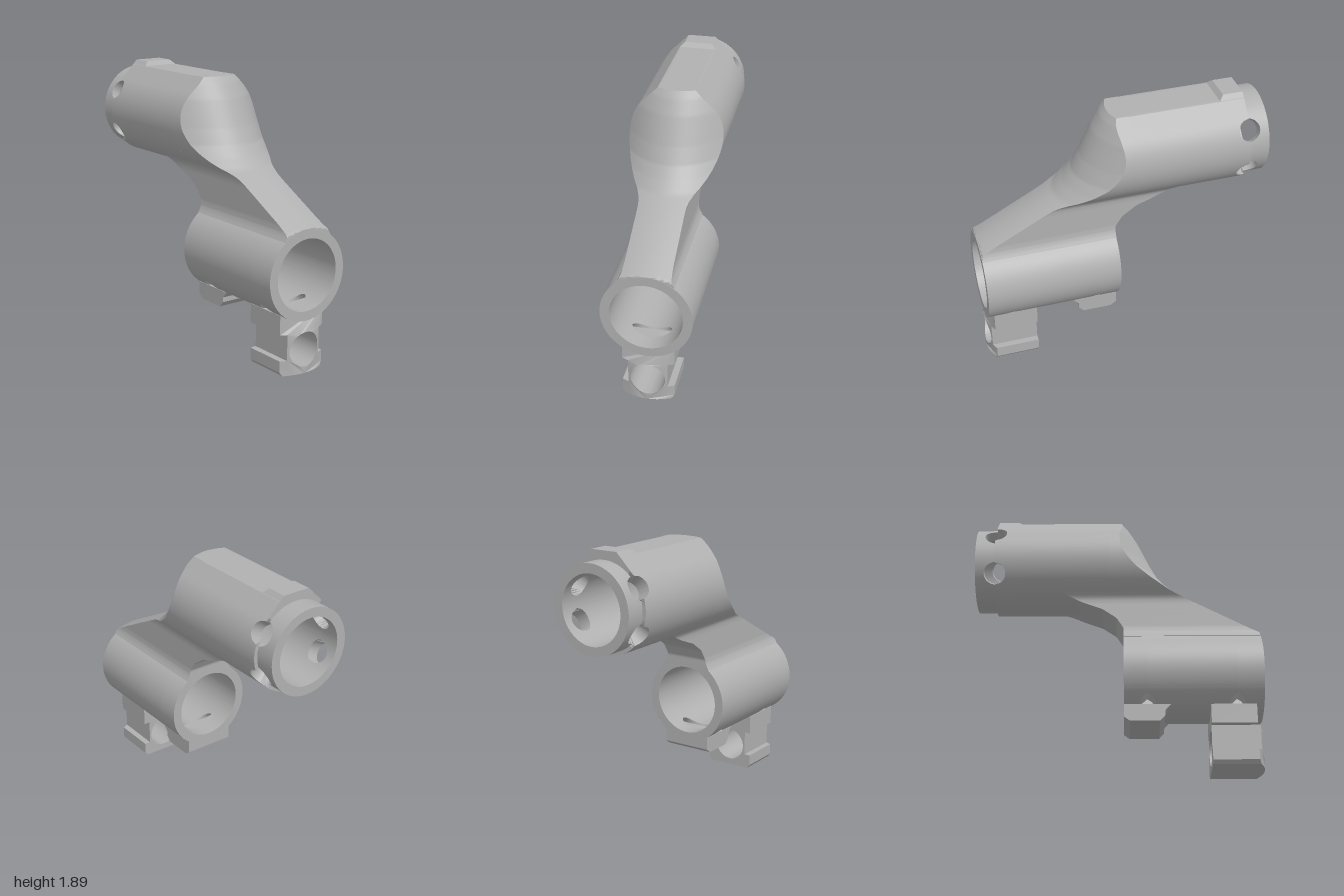
import * as THREE from 'three';
import { toCreasedNormals } from 'three/addons/utils/BufferGeometryUtils.js';

const UPPER_Y = 1.535, UPPER_R = 0.325, LOWER_Y = 0.675;

// Piecewise linear lookup in [key, value] pairs
function lookup(table, k) {
  if (k <= table[0][0]) return table[0][1];
  for (let i = 1; i < table.length; i++) {
    const [a, va] = table[i - 1], [b, vb] = table[i];
    if (k <= b) return va + (vb - va) * (k - a) / (b - a);
  }
  return table[table.length - 1][1];
}

// Skin closed loops of points; addCaps may push extra triangles
function loft(loops, addCaps) {
  const n = loops[0].length, index = [];
  for (let i = 0; i < loops.length - 1; i++) {
    for (let j = 0; j < n; j++) {
      const k = (j + 1) % n;
      const a = i * n + j, b = i * n + k, c = a + n, d = b + n;
      index.push(a, b, d, a, d, c);
    }
  }
  if (addCaps) addCaps(index, n);
  const geo = new THREE.BufferGeometry();
  geo.setAttribute('position', new THREE.Float32BufferAttribute(loops.flat(2), 3));
  geo.setIndex(index);
  return toCreasedNormals(geo, 0.5);
}

// Pipe wall along z whose ends may vary with angle and radius
function pipe(cy, inner, outer, back, front) {
  const loops = [], N = 180;
  for (let i = 0; i <= N; i++) {
    const t = (i / N) * Math.PI * 2, ro = outer(t);
    const corners = [[ro, front], [ro, back], [inner, back], [inner, front]];
    loops.push(corners.map(([r, end]) => [r * Math.cos(t), cy + r * Math.sin(t), end(t, r)]));
  }
  return loft(loops);
}

// Circular barrel with a flat top and two 45 degree shoulders
function barrelRadius(t) {
  const s = Math.sin(t), c = Math.abs(Math.cos(t));
  return s > c ? Math.min(0.33 / s, 0.46 / (s + c)) : UPPER_R;
}

// Half length along z of the four radial holes
function radialHole(t, r) {
  let h = 0;
  for (const deg of [30, 150, 210, 330]) {
    const d = t - deg * Math.PI / 180;
    if (Math.cos(d) > 0) h = Math.max(h, Math.sqrt(Math.max(0, 0.078 ** 2 - (r * Math.sin(d)) ** 2)));
  }
  return h;
}

// Half length along z of the cross holes near the bottom of the lower pipe
function crossHole(t, r) {
  const dy = LOWER_Y + r * Math.sin(t) - 0.415;
  return Math.sqrt(Math.max(0, 0.055 ** 2 - dy * dy));
}

// Sloping neck joining both pipes, with a rounded front face
function neckGeometry() {
  const waist = [[0.925, 0.19], [0.95, 0.175], [0.975, 0.165], [1.01, 0.16], [1.2, 0.16],
    [1.23, 0.163], [1.25, 0.172], [1.275, 0.195]];
  const frontLine = [[0.925, 1.12], [0.985, 1.0], [1.28, 0.45], [1.35, 0.375], [1.425, 0.31],
    [1.535, 0.25], [1.72, 0.165], [1.82, 0.105], [1.865, 0.068]];
  const backLine = [[1.0, 0.05], [1.04, 0.025], [1.08, 0], [1.15, -0.1], [1.2, -0.235], [1.267, -0.376]];
  const loops = [], rows = 94, cols = 24;
  for (let i = 0; i <= rows; i++) {
    const y = 0.925 + 0.94 * i / rows, dy = y - UPPER_Y;
    let w = lookup(waist, y);
    if (y > 1.275) w = Math.sqrt(Math.max(0, UPPER_R ** 2 - dy * dy));
    if (dy > 0.23) w = 0.46 - dy;
    const zc = lookup(frontLine, y), zb = y > 1.275 ? -0.05 : lookup(backLine, y);
    const front = [], back = [];
    for (let j = 0; j <= cols; j++) {
      const x = w * (2 * j / cols - 1);
      front.push([x, y, Math.min(0.997, zc - 1.9 * x * x)]);
      back.unshift([x, y, zb]);
    }
    loops.push([...front, ...back]);
  }
  return loft(loops, (index, n) => {
    const top = rows * n;
    for (let j = 0; j < cols; j++) {
      const a = j, b = j + 1, c = n - 2 - j, d = n - 1 - j;
      index.push(a, c, b, a, d, c);
      index.push(top + a, top + b, top + c, top + a, top + c, top + d);
    }
  });
}

// Front foot: notched sides, round through hole, bowed front face
function frontFootGeometry() {
  const side = [[0.18, 0.025], [0.18, 0.105], [0.135, 0.105], [0.135, 0.285], [0.18, 0.285], [0.18, 0.42]];
  const pts = [];
  for (let i = 0; i <= 10; i++) pts.push([-0.16 + 0.032 * i, 0]);
  pts.push(...side, ...side.map(([x, y]) => [-x, y]).reverse());
  const shape = new THREE.Shape(pts.map(([x, y]) => new THREE.Vector2(x, y)));
  shape.holes.push(new THREE.Path().absarc(0, 0.165, 0.12, 0, Math.PI * 2, true));
  const geo = new THREE.ExtrudeGeometry(shape, { depth: 0.36, bevelEnabled: false, curveSegments: 40 });
  geo.translate(0, 0, 0.64);
  const p = geo.attributes.position;
  for (let i = 0; i < p.count; i++) {
    if (p.getZ(i) > 0.9) p.setZ(i, 0.998 - 1.5 * p.getX(i) ** 2);
  }
  return toCreasedNormals(geo, 0.5);
}

// Rear foot: side profile extruded across x
function rearFootGeometry() {
  const profile = [[0.05, 0.33], [0.09, 0.3], [0.295, 0.3], [0.33, 0.34], [0.33, 0.375], [0.37, 0.42], [0.05, 0.42]];
  const shape = new THREE.Shape(profile.map(([z, y]) => new THREE.Vector2(z, y)));
  const geo = new THREE.ExtrudeGeometry(shape, { depth: 0.36, bevelEnabled: false });
  return geo.rotateY(-Math.PI / 2).translate(0.18, 0, 0);
}

// Raised key with sloping sides and front, on the flat of the barrel
function keyGeometry() {
  const geo = new THREE.BoxGeometry(0.26, 0.03, 0.17).translate(0, 1.88, -0.775);
  const p = geo.attributes.position;
  for (let i = 0; i < p.count; i++) {
    if (p.getY(i) < 1.88) continue;
    p.setX(i, Math.sign(p.getX(i)) * 0.1);
    if (p.getZ(i) > -0.8) p.setZ(i, -0.72);
  }
  geo.computeVertexNormals();
  return geo;
}

export function createModel() {
  const model = new THREE.Group();
  model.name = 'offsetTubeBracket';
  const grey = new THREE.MeshStandardMaterial({ color: 0xb0b0b0 });
  grey.name = 'plain grey';
  const add = (name, geo) => {
    const mesh = new THREE.Mesh(geo, grey);
    mesh.name = name;
    model.add(mesh);
  };

  // Upper barrel and its stepped rear collar, split along the middle of the holes
  add('upperBarrel', pipe(UPPER_Y, 0.235, barrelRadius, (t, r) => -0.86 + radialHole(t, r), () => -0.05));
  add('rearCollar', pipe(UPPER_Y, 0.235, () => 0.3, () => -1, (t, r) => -0.86 - radialHole(t, r)));
  add('topKey', keyGeometry());
  add('neck', neckGeometry());

  // Lower pipe in three bands, parted by the cross holes
  const lower = new THREE.Group();
  lower.name = 'lowerPipe';
  const holes = [0.21, 0.82];
  for (let i = 0; i < 3; i++) {
    const back = i === 0 ? () => 0.05 : (t, r) => holes[i - 1] + crossHole(t, r);
    const front = i === 2 ? () => 1 : (t, r) => holes[i] - crossHole(t, r);
    const band = new THREE.Mesh(pipe(LOWER_Y, 0.245, () => 0.31, back, front), grey);
    band.name = 'lowerPipeBand' + (i + 1);
    lower.add(band);
  }
  model.add(lower);

  add('frontFoot', frontFootGeometry());
  add('rearFoot', rearFootGeometry());
  return model;
}
